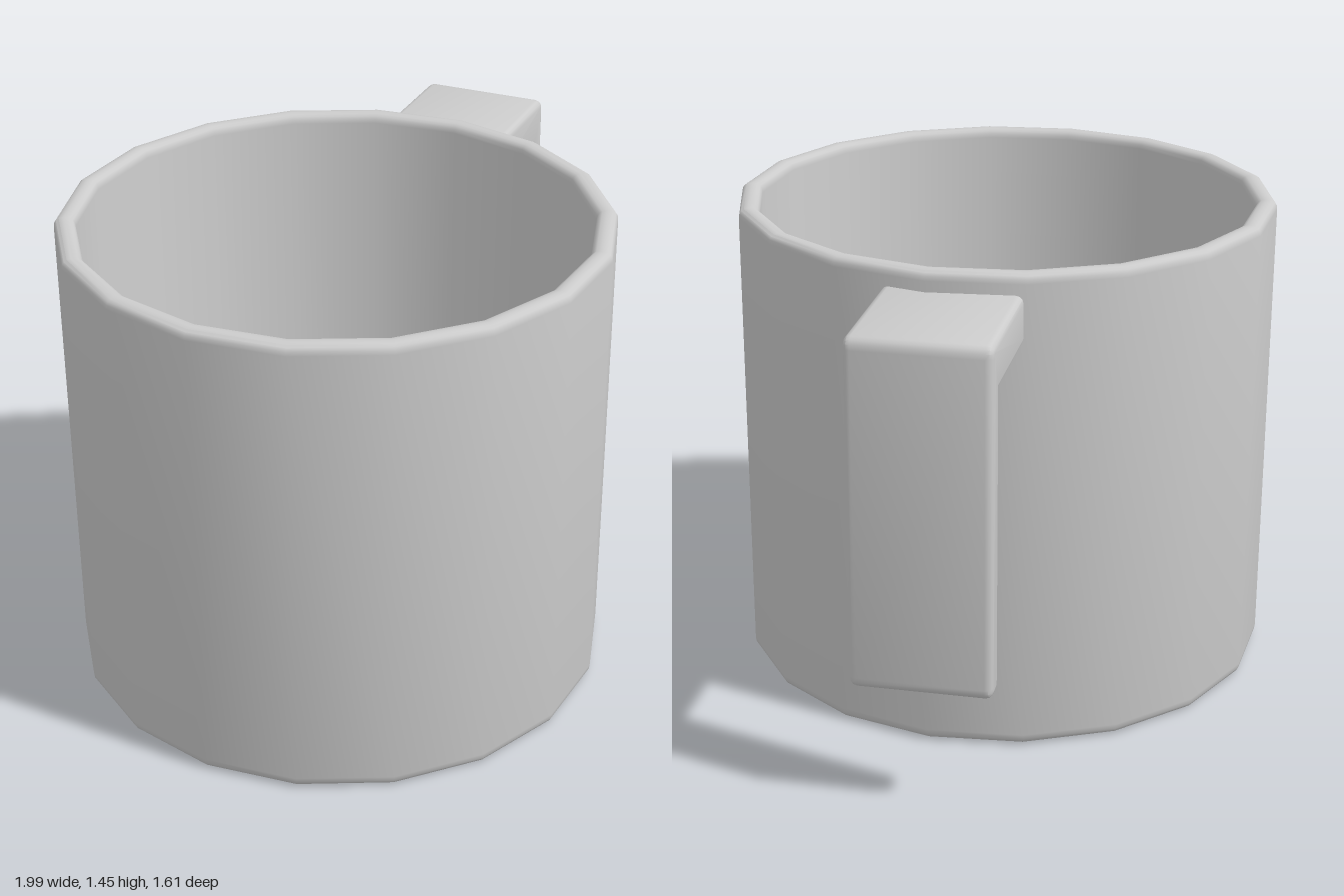
import * as THREE from 'three';
import { toCreasedNormals } from 'three/addons/utils/BufferGeometryUtils.js';

const material = new THREE.MeshStandardMaterial({ color: 0xcccccc });

// Add a path through corners [x, y, radius], rounding each by its radius
function roundedPath(path, corners, closed) {
  const n = corners.length;
  const v = corners.map(([x, y]) => new THREE.Vector2(x, y));
  for (let i = 0; i < n; i++) {
    const r = corners[i][2] || 0;
    const toward = (j) => v[(j + n) % n].clone().sub(v[i]).setLength(r).add(v[i]);
    const a = r ? toward(i - 1) : v[i];
    if (i === 0) path.moveTo(a.x, a.y);
    else path.lineTo(a.x, a.y);
    if (r) {
      const b = toward(i + 1);
      path.quadraticCurveTo(v[i].x, v[i].y, b.x, b.y);
    }
  }
  if (closed) path.closePath();
  return path;
}

export function createModel() {
  const mug = new THREE.Group();
  mug.name = 'mug';
  const cupX = -0.18;

  // Eighteen-sided hollow cup with a softened rim and base
  const profile = roundedPath(new THREE.Path(), [
    [0, 0], [0.815, 0, 0.035], [0.815, 1.45, 0.028],
    [0.752, 1.45, 0.028], [0.752, 0.06, 0.035], [0, 0.06],
  ]).getPoints(4);
  const cup = new THREE.Mesh(
    toCreasedNormals(new THREE.LatheGeometry(profile, 18, Math.PI / 2), 0.6), material);
  cup.name = 'cup';
  cup.position.x = cupX;
  mug.add(cup);

  // L-shaped handle: a short arm out of the wall and a plate hanging from it
  const width = 0.4, bevel = 0.022;
  const shape = roundedPath(new THREE.Shape(), [
    [0.765, 1.245], [1.12, 1.245], [1.12, 0.37, 0.035],
    [1.21, 0.37, 0.035], [1.21, 1.39, 0.035], [0.765, 1.39],
  ], true);
  const handleGeometry = new THREE.ExtrudeGeometry(shape, {
    depth: width - 2 * bevel, bevelEnabled: true, bevelThickness: bevel,
    bevelSize: bevel, bevelOffset: -bevel, bevelSegments: 3, curveSegments: 4,
  });
  handleGeometry.translate(0, 0, bevel - width / 2);
  const handle = new THREE.Mesh(toCreasedNormals(handleGeometry, 0.6), material);
  handle.name = 'handle';
  handle.position.x = cupX;
  handle.rotation.y = THREE.MathUtils.degToRad(25);
  mug.add(handle);

  return mug;
}
